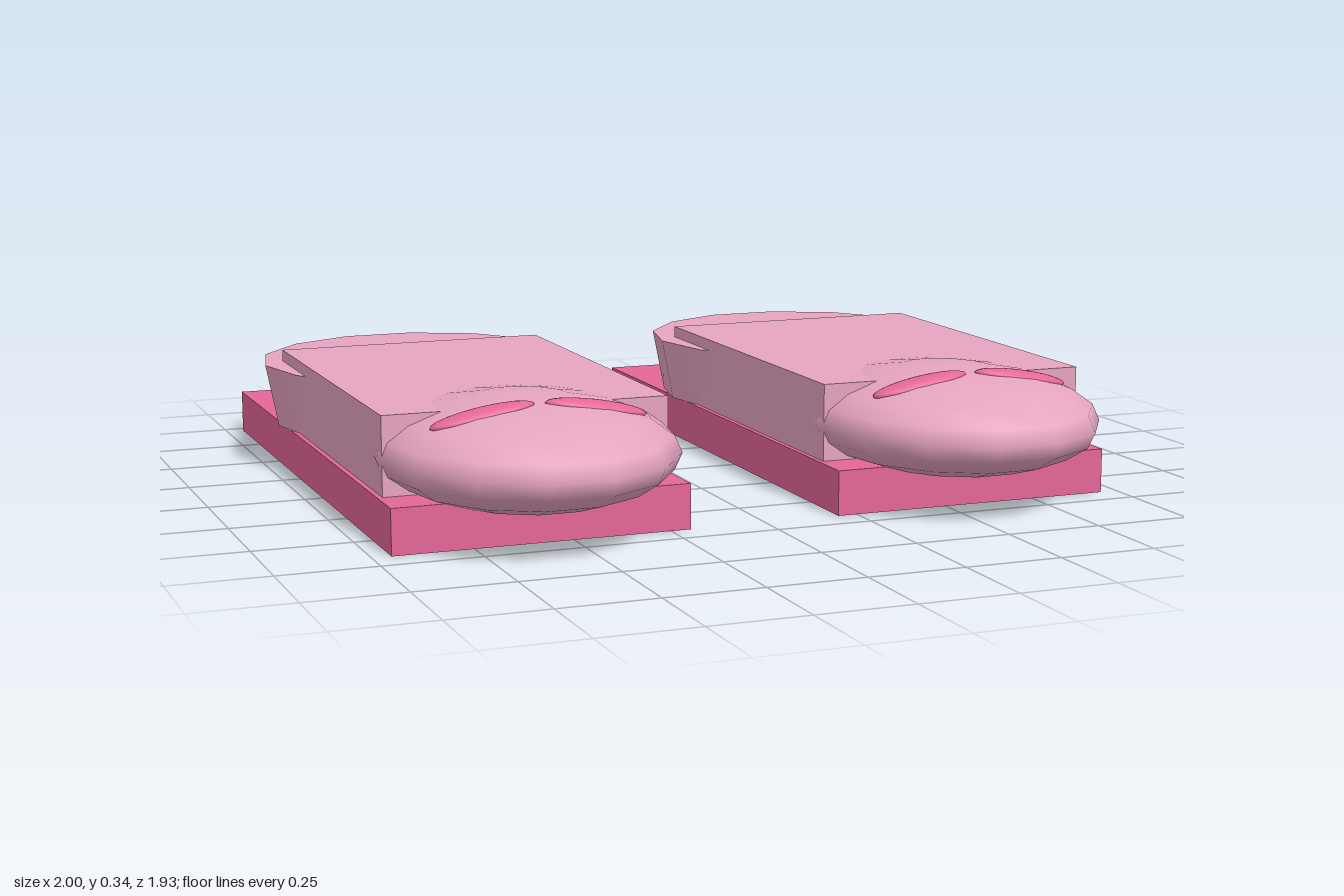
import * as THREE from 'three';

const SIDES = 14;
const upperMat = new THREE.MeshStandardMaterial({ color: 0xe6a4c0 });
const soleMat = new THREE.MeshStandardMaterial({ color: 0xe46697 });

function part(parent, name, geometry, material, x, y, z) {
  const mesh = new THREE.Mesh(geometry, material);
  mesh.name = name;
  mesh.position.set(x, y, z);
  parent.add(mesh);
  return mesh;
}

const ellipsoid = (rx, ry, rz, ws, hs) => new THREE.SphereGeometry(1, ws, hs).scale(rx, ry, rz);

function createSlipper(name) {
  const slipper = new THREE.Group();
  slipper.name = name;

  // flat sole
  part(slipper, 'sole', new THREE.BoxGeometry(0.754, 0.115, 1.64), soleMat, 0, 0.0575, -0.15);

  // boxy upper
  part(slipper, 'upper', new THREE.BoxGeometry(0.728, 0.2, 1.03), upperMat, 0, 0.213, 0.035);

  // rounded toe
  part(slipper, 'toe', ellipsoid(0.373, 0.135, 0.446, SIDES, 10), upperMat, 0, 0.204, 0.525);

  // heel cup, wider at the top
  const heel = new THREE.CylinderGeometry(0.425, 0.392, 0.168, SIDES, 1, false, Math.PI / 2);
  part(slipper, 'heel', heel, upperMat, 0, 0.199, -0.42);

  // pair of slanted trims lying on the toe
  for (const s of [-1, 1]) {
    const trim = part(slipper, 'toeTrim', ellipsoid(0.132, 0.021, 0.041, 20, 12), soleMat, s * 0.143, 0.313, 0.643);
    trim.rotation.z = -s * 0.17;
  }
  return slipper;
}

export function createModel() {
  const model = new THREE.Group();
  model.name = 'slippers';
  for (const [name, x] of [['rightSlipper', -0.576], ['leftSlipper', 0.576]]) {
    const slipper = createSlipper(name);
    slipper.position.x = x;
    model.add(slipper);
  }
  return model;
}
